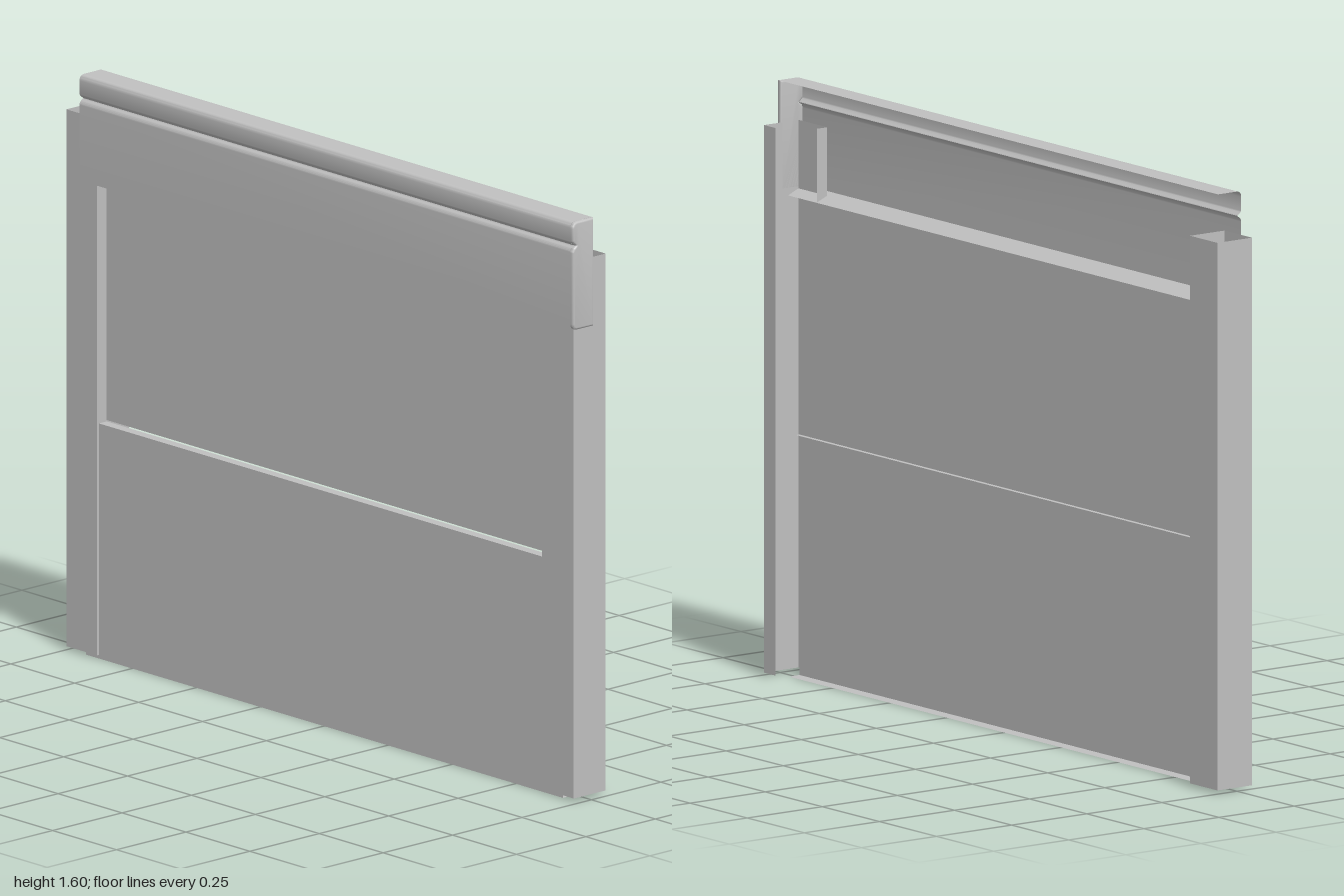
import * as THREE from 'three';
import { toCreasedNormals } from 'three/addons/utils/BufferGeometryUtils.js';

// Replace each inner corner [a, b, radius] of a polyline with a small arc
function rounded(points) {
  const out = [];
  points.forEach(([a, b, r], i) => {
    if (!r) { out.push([a, b]); return; }
    const p = new THREE.Vector2(a, b);
    const from = new THREE.Vector2(...points[i - 1].slice(0, 2)).sub(p).setLength(r).add(p);
    const to = new THREE.Vector2(...points[i + 1].slice(0, 2)).sub(p).setLength(r).add(p);
    new THREE.QuadraticBezierCurve(from, p, to).getPoints(4).forEach((q) => out.push([q.x, q.y]));
  });
  return out;
}

// Sweep a polyline between two levels; place(a, b, level) gives the 3D point
function sweep(points, lo, hi, place) {
  const pos = [];
  for (let i = 0; i < points.length - 1; i++) {
    const [a, b] = points[i], [c, d] = points[i + 1];
    const p = place(a, b, lo), q = place(c, d, lo), r = place(c, d, hi), s = place(a, b, hi);
    pos.push(...p, ...q, ...r, ...p, ...r, ...s);
  }
  const g = new THREE.BufferGeometry();
  g.setAttribute('position', new THREE.Float32BufferAttribute(pos, 3));
  return toCreasedNormals(g, 0.5);
}

export function createModel() {
  const model = new THREE.Group();
  const metal = new THREE.MeshStandardMaterial({ color: 0xc0c0c0, side: THREE.DoubleSide });
  metal.name = 'grey sheet metal';

  const add = (name, geometry) => {
    const mesh = new THREE.Mesh(geometry, metal);
    mesh.name = name;
    model.add(mesh);
  };
  const along = (name, profile, z0, z1) =>
    add(name, sweep(rounded(profile), z0, z1, (x, y, z) => [x, y, z]));
  const upright = (name, plan) =>
    add(name, sweep(plan, 0.01, 1.49, (x, z, y) => [x, y, z]));

  // Folded top: rail, shallow groove and raised upper panel, ending in a sloped ledge
  along('topRailAndUpperPanel', [
    [0.01, 1.603], [-0.067, 1.603, 0.016], [-0.067, 1.546, 0.008], [-0.053, 1.537, 0.004],
    [-0.067, 1.528, 0.008], [-0.067, 1.312], [-0.015, 1.29],
  ], -0.93, 0.99);

  // Middle panel with a narrow drip lip, and hollow lower panel with a bottom lip
  along('middlePanel', [[-0.015, 1.29], [-0.015, 0.652], [-0.003, 0.652]], -0.93, 0.935);
  along('lowerPanel', [
    [0.015, 0.002], [-0.015, 0.002], [-0.015, 0.648], [-0.043, 0.648], [-0.043, 0], [0.015, 0],
  ], -0.93, 0.935);

  // Rounded end cap closing the front, notched where the groove runs out
  const b = 0.006, left = -0.067 + b, right = 0.01 - b;
  const outline = rounded([
    [right, 1.305 + b], [right, 1.603 - b], [left, 1.603 - b, 0.012], [left, 1.55, 0.006],
    [-0.045, 1.537], [left, 1.524, 0.006], [left, 1.305 + b, 0.012], [right, 1.305 + b],
  ]).slice(0, -1);
  const cap = new THREE.ExtrudeGeometry(new THREE.Shape(outline.map((p) => new THREE.Vector2(...p))), {
    depth: 0.003, bevelEnabled: true, bevelSize: b, bevelThickness: b, bevelSegments: 3,
  });
  cap.translate(0, 0, 0.991);
  add('frontEndCap', toCreasedNormals(cap, 0.7));

  // Hollow rear post, open at both ends
  upright('rearPost', [
    [-0.05, -0.88], [0.065, -0.88], [0.065, -1], [-0.05, -1], [-0.05, -0.88],
  ]);

  // Front post: open channel with a short return on the panel side
  upright('frontPost', [
    [0.065, 0.935], [0.065, 0.985], [-0.05, 0.985], [-0.05, 0.86], [-0.017, 0.86],
  ]);

  return model;
}
